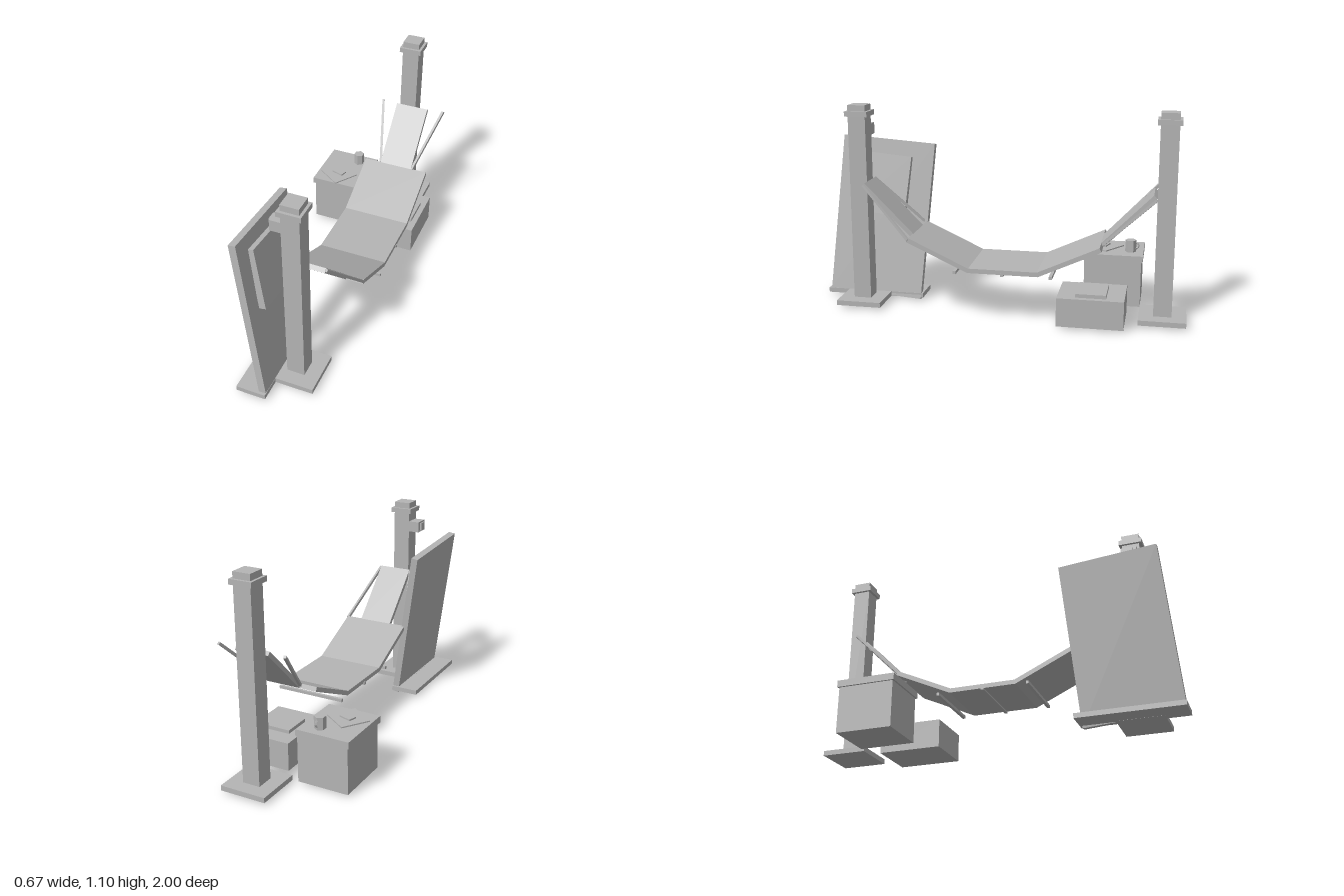
import * as THREE from 'three';

const grey = new THREE.MeshStandardMaterial({ color: 0xb4b4b4, flatShading: true });
grey.name = 'plain grey';

function add(parent, name, geometry) {
  const mesh = new THREE.Mesh(geometry, grey);
  mesh.name = name;
  parent.add(mesh);
  return mesh;
}

// Box given by its extents on each axis
function box(parent, name, [x0, x1], [y0, y1], [z0, z1]) {
  const mesh = add(parent, name, new THREE.BoxGeometry(x1 - x0, y1 - y0, z1 - z0));
  mesh.position.set((x0 + x1) / 2, (y0 + y1) / 2, (z0 + z1) / 2);
  return mesh;
}

// Box given by centre and size
function block(parent, name, centre, size) {
  const mesh = add(parent, name, new THREE.BoxGeometry(...size));
  mesh.position.set(...centre);
  return mesh;
}

// Square bar between two points
function bar(parent, name, a, b, size) {
  const start = new THREE.Vector3(...a), end = new THREE.Vector3(...b);
  const mesh = add(parent, name, new THREE.BoxGeometry(size, size, start.distanceTo(end)));
  mesh.position.copy(start).lerp(end, 0.5);
  mesh.lookAt(end);
  return mesh;
}

// Bent sheet following [z, y] points, with mitred folds
function sheet(parent, name, points, x0, x1, thickness) {
  const pts = points.map(([z, y]) => new THREE.Vector2(-z, y));
  const normal = (a, b) => {
    const d = b.clone().sub(a).normalize();
    return new THREE.Vector2(-d.y, d.x);
  };
  const offset = pts.map((p, i) => {
    const before = normal(pts[Math.max(i - 1, 0)], pts[Math.max(i, 1)]);
    const last = pts.length - 1;
    const after = normal(pts[Math.min(i, last - 1)], pts[Math.min(i + 1, last)]);
    const mid = before.clone().add(after).normalize();
    return mid.multiplyScalar(thickness / 2 / mid.dot(before));
  });
  const lower = pts.map((p, i) => p.clone().sub(offset[i]));
  const upper = pts.map((p, i) => p.clone().add(offset[i])).reverse();
  const geometry = new THREE.ExtrudeGeometry(new THREE.Shape([...lower, ...upper]), { depth: x1 - x0, bevelEnabled: false });
  geometry.rotateY(Math.PI / 2).translate(x0, 0, 0);
  return add(parent, name, geometry);
}

function group(parent, name) {
  const g = new THREE.Group();
  g.name = name;
  parent.add(g);
  return g;
}

export function createModel() {
  const model = new THREE.Group();
  model.name = 'hammock set';
  const cx = 0.108;

  // Two posts with foot, collar and cap
  for (const [name, z] of [['frontPost', 0.755], ['backPost', -0.877]]) {
    const post = group(model, name);
    block(post, 'foot', [cx, 0.033, z], [0.25, 0.027, 0.246]);
    block(post, 'shaft', [cx, 0.55, z], [0.095, 1.01, 0.095]);
    block(post, 'collar', [cx, 1.063, z], [0.124, 0.027, 0.124]);
    block(post, 'cap', [cx, 1.092, z], [0.095, 0.035, 0.095]);
  }

  // Bracket on the front post
  box(model, 'bracket', [0, 0.062], [0.94, 1.0], [0.71, 0.795]);
  box(model, 'bracketPlate', [-0.01, 0], [0.948, 0.992], [0.73, 0.775]);

  // Leaning board with a smaller slab on its face
  box(model, 'boardFoot', [-0.128, 0.03], [0.02, 0.046], [0.447, 1.0]);
  block(model, 'leaningBoard', [-0.056, 0.458, 0.692], [0.038, 0.873, 0.526])
    .rotation.set(-0.07, 0, 0.157, 'ZYX');
  block(model, 'boardSlab', [-0.052, 0.65, 0.694], [0.036, 0.334, 0.312])
    .rotation.set(-0.09, 0, 0.188, 'ZYX');

  // Hammock bed and its narrow end flaps
  const hammock = group(model, 'hammock');
  sheet(hammock, 'bed', [[0.44, 0.437], [0.12, 0.29], [-0.244, 0.29], [-0.562, 0.437]], -0.048, 0.326, 0.024);
  sheet(hammock, 'frontFlap', [[0.703, 0.70], [0.44, 0.437]], 0.046, 0.234, 0.024);
  sheet(hammock, 'backFlap', [[-0.562, 0.437], [-0.822, 0.70]], 0.046, 0.234, 0.024);

  // Ropes and cross slats
  const mid = 0.14;
  for (const side of [-1, 1]) {
    bar(hammock, 'frontRope', [mid + side * 0.186, 0.437, 0.437], [mid + side * 0.097, 0.70, 0.70], 0.014);
    bar(hammock, 'backRope', [mid + side * 0.097, 0.442, -0.565], [mid + side * 0.186, 0.705, -0.83], 0.014);
  }
  for (const z of [0.19, -0.06, -0.312]) {
    box(hammock, 'slat', [-0.053, 0.33], [0.269, 0.285], [z - 0.008, z + 0.008]);
  }

  // Low crate with a flat item on top
  box(model, 'lowCrate', [0.047, 0.327], [0.02, 0.172], [-0.687, -0.342]);
  box(model, 'flatItem', [0.1, 0.297], [0.172, 0.191], [-0.594, -0.437]);

  // Side table with lid, papers and mug
  const table = group(model, 'sideTable');
  box(table, 'tableBody', [-0.328, -0.05], [0.02, 0.27], [-0.752, -0.445]);
  box(table, 'tableLid', [-0.338, -0.045], [0.27, 0.306], [-0.76, -0.435]);
  block(table, 'paper', [-0.214, 0.309, -0.538], [0.16, 0.007, 0.155]).rotation.y = -0.6;
  block(table, 'booklet', [-0.212, 0.3165, -0.54], [0.07, 0.008, 0.045]).rotation.y = -0.3;
  add(table, 'mug', new THREE.CylinderGeometry(0.03, 0.03, 0.065, 6)).position.set(-0.143, 0.338, -0.69);
  const handle = add(table, 'mugHandle', new THREE.TorusGeometry(0.015, 0.005, 4, 8));
  handle.rotation.y = Math.PI / 2;
  handle.position.set(-0.143, 0.34, -0.718);

  return model;
}
